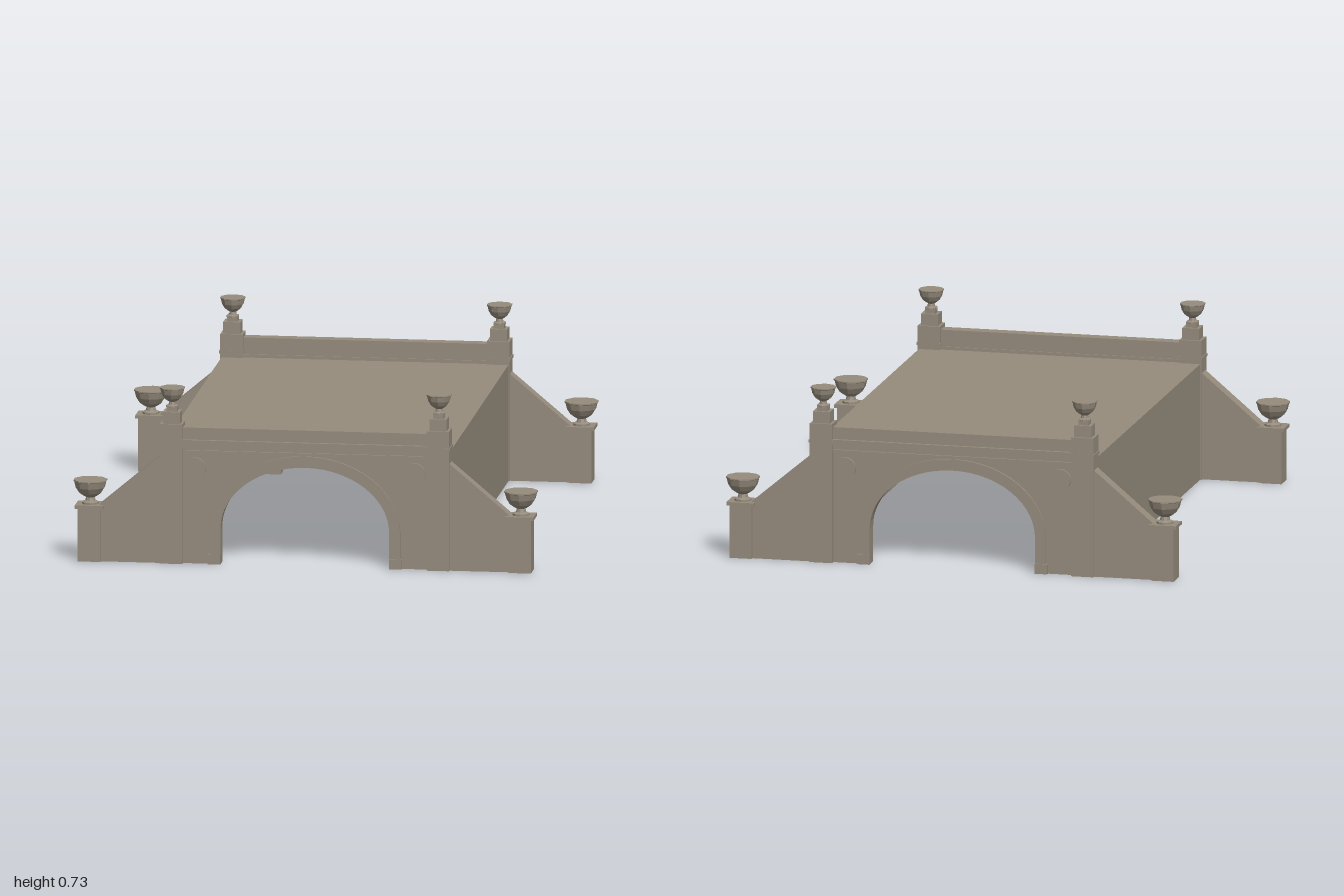
import * as THREE from 'three';

const stone = new THREE.MeshStandardMaterial({ color: 0x968c7d, flatShading: true, side: THREE.DoubleSide });
stone.name = 'stone';

function add(parent, name, geometry, x = 0, y = 0, z = 0) {
  const mesh = new THREE.Mesh(geometry, stone);
  mesh.name = name;
  mesh.position.set(x, y, z);
  parent.add(mesh);
  return mesh;
}

// Box given by its limits; open ones have no underside
function block(parent, name, x0, x1, y0, y1, z0, z1, open = false) {
  const g = new THREE.BoxGeometry(x1 - x0, y1 - y0, z1 - z0);
  if (open) {
    const index = Array.from(g.index.array);
    index.splice(18, 6);
    g.setIndex(index);
    g.clearGroups();
  }
  return add(parent, name, g, (x0 + x1) / 2, (y0 + y1) / 2, (z0 + z1) / 2);
}

function plate(parent, name, shape, z0, z1) {
  const g = new THREE.ExtrudeGeometry(shape, { depth: z1 - z0, bevelEnabled: false, curveSegments: 24 });
  return add(parent, name, g, 0, 0, z0);
}

// Points of the opening, from right foot over the crown to left foot
function archPoints(halfWidth, spring, rise, steps = 28) {
  const points = [new THREE.Vector2(halfWidth, 0)];
  for (let i = 0; i <= steps; i++) {
    const a = (Math.PI * i) / steps;
    points.push(new THREE.Vector2(halfWidth * Math.cos(a), spring + rise * Math.sin(a)));
  }
  points.push(new THREE.Vector2(-halfWidth, 0));
  return points;
}

// Bowl on a narrow foot, r is the rim radius and h the height
function urn(parent, x, y, z, r, h) {
  const profile = [
    [0.5, 0], [0.5, 0.08], [0.3, 0.14], [0.26, 0.28], [0.42, 0.34],
    [0.66, 0.46], [0.86, 0.68], [0.95, 0.93], [1, 0.95], [1, 1], [0, 1],
  ].map(([a, b]) => new THREE.Vector2(a * r, b * h));
  add(parent, 'urn', new THREE.LatheGeometry(profile, 10), x, y, z);
}

function buildPortal() {
  const portal = new THREE.Group();

  // Face wall with the arched opening cut from its foot
  const inner = archPoints(0.35, 0.15, 0.265);
  const wall = new THREE.Shape([
    new THREE.Vector2(-0.52, 0), new THREE.Vector2(-0.52, 0.5),
    new THREE.Vector2(0.52, 0.5), new THREE.Vector2(0.52, 0), ...inner,
  ]);
  plate(portal, 'archWall', wall, 0.9, 0.952);

  // Raised band round the arch
  const band = new THREE.Shape([...archPoints(0.395, 0.15, 0.312), ...inner.slice().reverse()]);
  plate(portal, 'archBand', band, 0.952, 0.962);

  // Parapet and its horizontal mouldings
  block(portal, 'parapet', -0.51, 0.51, 0.48, 0.57, 0.905, 0.958);
  block(portal, 'cornice', -0.51, 0.51, 0.505, 0.52, 0.95, 0.972);
  block(portal, 'corniceFillet', -0.51, 0.51, 0.49, 0.505, 0.95, 0.966);
  block(portal, 'stringCourse', -0.51, 0.51, 0.462, 0.475, 0.95, 0.96);

  for (const s of [-1, 1]) {
    const side = new THREE.Group();
    side.name = s > 0 ? 'leftSide' : 'rightSide';
    portal.add(side);
    const part = (name, x, halfX, y0, y1, halfZ, open) =>
      block(side, name, s * x - halfX, s * x + halfX, y0, y1, 0.932 - halfZ, 0.932 + halfZ, open);

    // Tall pier with stepped top
    part('pier', 0.553, 0.047, 0, 0.585, 0.043, true);
    part('pierBand', 0.553, 0.051, 0.503, 0.516, 0.044);
    part('pierStep', 0.553, 0.036, 0.585, 0.634, 0.034);
    part('pierNeck', 0.553, 0.022, 0.634, 0.658, 0.022);
    urn(side, s * 0.553, 0.65, 0.932, 0.053, 0.083);

    // Sloping wing wall
    const wing = new THREE.Shape([
      new THREE.Vector2(s * 0.595, 0), new THREE.Vector2(s * 0.855, 0),
      new THREE.Vector2(s * 0.855, 0.233), new THREE.Vector2(s * 0.595, 0.452),
    ]);
    plate(side, 'wingWall', wing, 0.9, 0.962);

    // Short end post with cap
    part('endPost', 0.893, 0.047, 0, 0.225, 0.045, true);
    part('endCap', 0.893, 0.058, 0.222, 0.236, 0.052);
    urn(side, s * 0.893, 0.236, 0.932, 0.071, 0.101);

    // Roundel and foot block of the arch
    const roundel = new THREE.CylinderGeometry(0.045, 0.045, 0.012, 20);
    roundel.rotateX(Math.PI / 2);
    add(side, 'roundel', roundel, s * 0.455, 0.4, 0.956);
    block(side, 'archFoot', s * 0.376 - 0.026, s * 0.376 + 0.026, 0, 0.042, 0.945, 0.967);
  }
  return portal;
}

export function createModel() {
  const model = new THREE.Group();
  model.name = 'bridge';

  // Hollow passage: deck and two thin side walls
  const deck = new THREE.PlaneGeometry(1.19, 1.81);
  deck.rotateX(-Math.PI / 2);
  add(model, 'deck', deck, 0, 0.487, 0);
  for (const s of [-1, 1]) {
    const wall = new THREE.PlaneGeometry(1.81, 0.487);
    wall.rotateY((s * Math.PI) / 2);
    add(model, 'sideWall', wall, s * 0.595, 0.2435, 0);
  }

  // Matching portals at both ends
  const front = buildPortal();
  front.name = 'frontPortal';
  const back = buildPortal();
  back.name = 'backPortal';
  back.rotation.y = Math.PI;
  model.add(front, back);
  return model;
}
